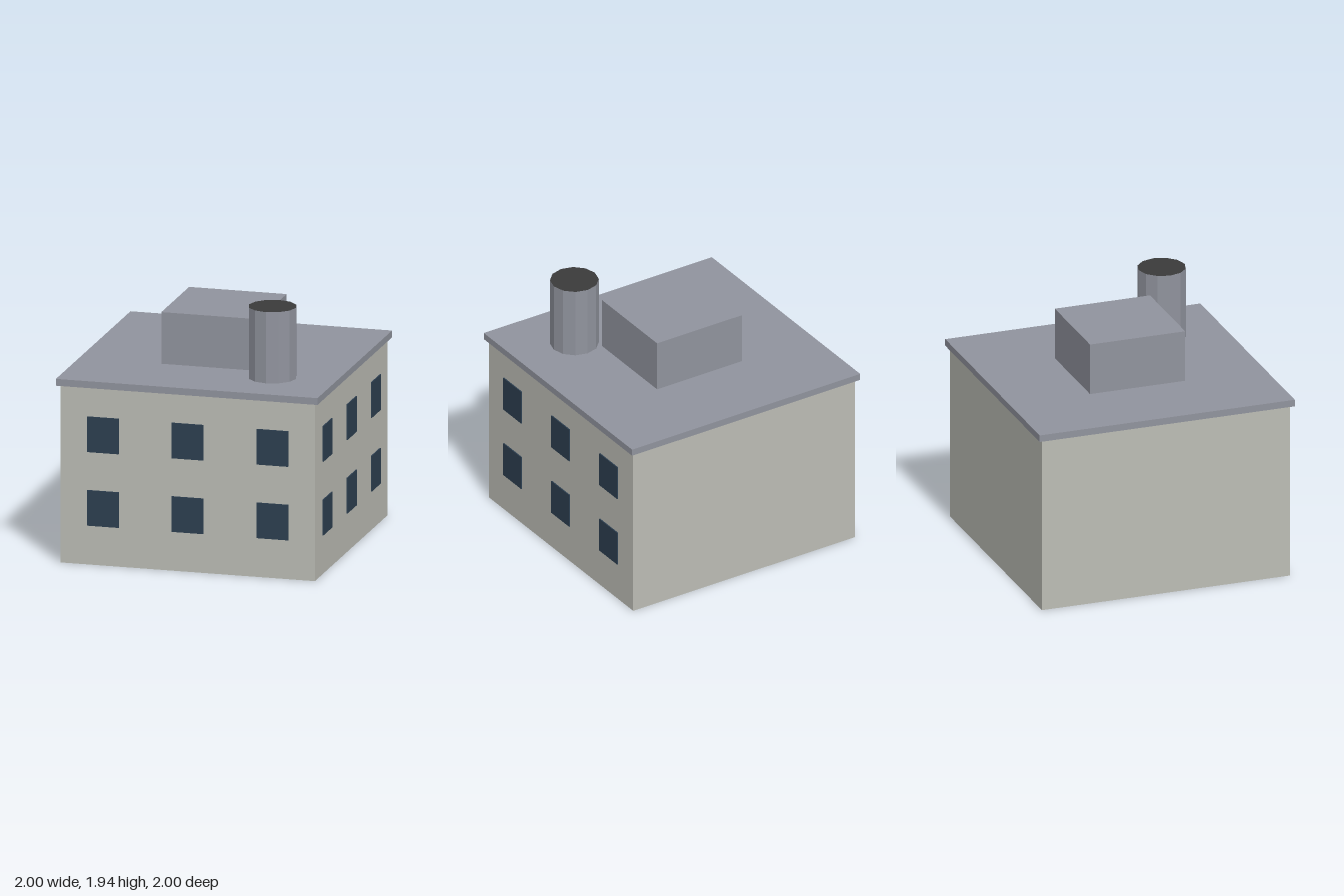
import * as THREE from 'three';

export function createModel() {
  const model = new THREE.Group();
  model.name = 'building';

  const mat = (name, color) => {
    const m = new THREE.MeshStandardMaterial({ color });
    m.name = name;
    return m;
  };
  const wall = mat('wall', 0xbbbcb4);
  const roof = mat('roof grey', 0x90939d);
  const glass = mat('window glass', 0x2c3e50);
  const dark = mat('chimney opening', 0x3a3a3a);

  const add = (parent, name, geometry, material, x, y, z) => {
    const mesh = new THREE.Mesh(geometry, material);
    mesh.name = name;
    mesh.position.set(x, y, z);
    parent.add(mesh);
    return mesh;
  };
  const box = (name, w, h, d, material, bottom) =>
    add(model, name, new THREE.BoxGeometry(w, h, d), material, 0, bottom + h / 2, 0);

  // Main block, overhanging roof slab and rooftop housing
  const half = 0.972;
  box('walls', half * 2, 1.35, half * 2, wall, 0);
  box('roofSlab', 2, 0.052, 2, roof, 1.35);
  box('rooftopHousing', 0.746, 0.393, 0.746, roof, 1.402);

  // Twelve-sided chimney with a dark top
  const chimney = new THREE.CylinderGeometry(0.18, 0.18, 0.542, 12).toNonIndexed();
  chimney.computeVertexNormals();
  add(model, 'chimney', chimney, [roof, dark, roof], 0.519, 1.673, 0.519);

  // Two rows of three windows on the front and on the left side
  const pane = new THREE.BoxGeometry(0.243, 0.27, 0.009);
  [['frontWindows', 0], ['leftWindows', Math.PI / 2]].forEach(([name, turn]) => {
    const side = new THREE.Group();
    side.name = name;
    side.rotation.y = turn;
    for (const y of [0.432, 0.992])
      for (const x of [-0.648, 0, 0.648])
        add(side, 'window', pane, glass, x, y, half + 0.0045);
    model.add(side);
  });

  return model;
}
